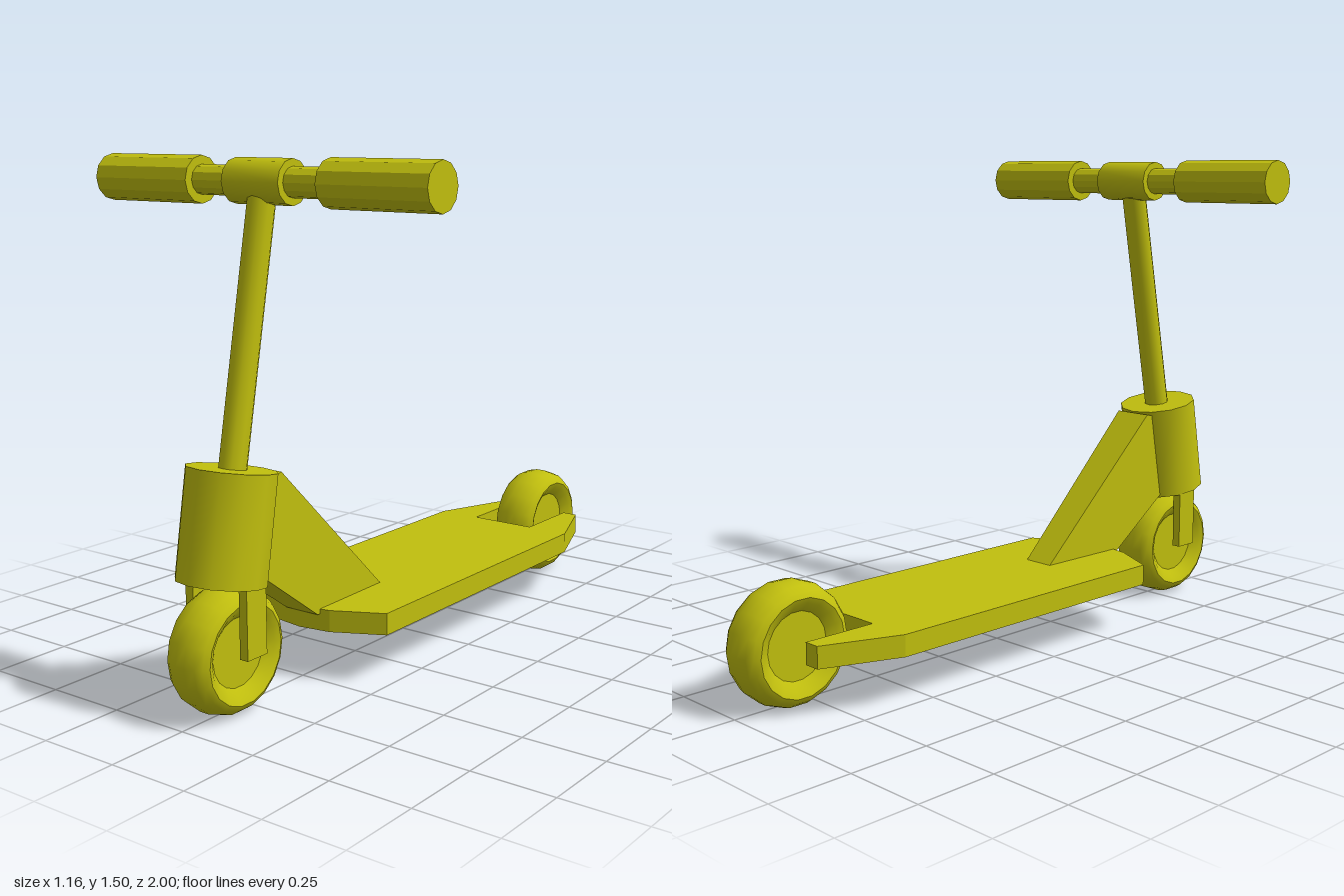
import * as THREE from 'three';
import { toCreasedNormals } from 'three/addons/utils/BufferGeometryUtils.js';

export function createModel() {
  const scooter = new THREE.Group();
  scooter.name = 'kickScooter';
  const paint = new THREE.MeshStandardMaterial({ color: 0xc1bf0e });
  paint.name = 'olive yellow';

  const add = (name, geometry, crease = 0.7) => {
    const mesh = new THREE.Mesh(toCreasedNormals(geometry, crease), paint);
    mesh.name = name;
    scooter.add(mesh);
    return mesh;
  };
  const shapeOf = pts => new THREE.Shape(pts.map(([x, y]) => new THREE.Vector2(x, y)));

  // Cylinder running between two points
  const rod = (name, a, b, radius, sides, crease) => {
    const from = new THREE.Vector3(...a), to = new THREE.Vector3(...b);
    const dir = to.clone().sub(from);
    const mesh = add(name, new THREE.CylinderGeometry(radius, radius, dir.length(), sides), crease);
    mesh.position.copy(from).add(to).multiplyScalar(0.5);
    mesh.quaternion.setFromUnitVectors(new THREE.Vector3(0, 1, 0), dir.normalize());
    return mesh;
  };

  // Deck: outline in x, z with a slot for the rear wheel
  const deck = new THREE.ExtrudeGeometry(shapeOf([
    [-0.17, -0.845], [-0.12, -0.845], [-0.12, -0.61], [0.1, -0.61], [0.1, -0.845], [0.15, -0.845],
    [0.24, -0.61], [0.24, 0.41], [0.09, 0.485], [-0.01, 0.5], [-0.11, 0.485], [-0.26, 0.41], [-0.26, -0.61],
  ]), { depth: 0.065, bevelEnabled: false });
  deck.rotateX(Math.PI / 2).translate(0, 0.215, 0);
  add('deck', deck, 0.3);

  // Wheels: rounded tyre with a recessed hub on both sides
  const half = [[0, 0.045], [0.1, 0.045], [0.125, 0.066], [0.143, 0.075], [0.16, 0.065], [0.173, 0.045], [0.18, 0.015]];
  const profile = [
    ...half.map(([r, x]) => new THREE.Vector2(r, -x)),
    ...half.slice().reverse().map(([r, x]) => new THREE.Vector2(r, x)),
  ];
  for (const [name, z] of [['frontWheel', 0.82], ['rearWheel', -0.82]]) {
    const wheel = new THREE.LatheGeometry(profile, 18);
    wheel.rotateZ(Math.PI / 2);
    add(name, wheel, 0.6).position.set(-0.003, 0.18, z);
  }

  // Leaning head tube and steering column
  rod('headTube', [0, 0.375, 0.837], [0, 0.68, 0.785], 0.128, 12);
  rod('steeringColumn', [0, 0.62, 0.792], [0, 1.44, 0.635], 0.04, 10);

  // Gusset joining head tube to deck, slightly wider at the top
  const gusset = new THREE.ExtrudeGeometry(shapeOf([
    [0.19, 0.2], [0.5, 0.2], [0.72, 0.36], [0.78, 0.4], [0.72, 0.64], [0.655, 0.655], [0.19, 0.215],
  ]), { depth: 2, bevelEnabled: false });
  gusset.translate(0, 0, -1).rotateY(-Math.PI / 2);
  const p = gusset.attributes.position;
  for (let i = 0; i < p.count; i++) {
    p.setX(i, p.getX(i) * THREE.MathUtils.mapLinear(p.getZ(i), 0.19, 0.66, 0.051, 0.064));
  }
  add('gusset', gusset, 0.3);

  // Fork legs
  for (const s of [-1, 1]) {
    const leg = add(s > 0 ? 'leftForkLeg' : 'rightForkLeg', new THREE.BoxGeometry(0.028, 0.23, 0.078), 0.3);
    leg.position.set(s * 0.098, 0.295, 0.82);
  }

  // Handlebar, centre clamp and grips
  const bar = (name, x0, x1, r, crease) => rod(name, [x0, 1.44, 0.632], [x1, 1.44, 0.632], r, 12, crease);
  bar('handlebar', -0.3, 0.3, 0.042, 0.2);
  bar('handlebarClamp', -0.1, 0.1, 0.063);
  bar('rightGrip', -0.58, -0.228, 0.067, 0.2);
  bar('leftGrip', 0.228, 0.58, 0.067, 0.2);

  return scooter;
}
